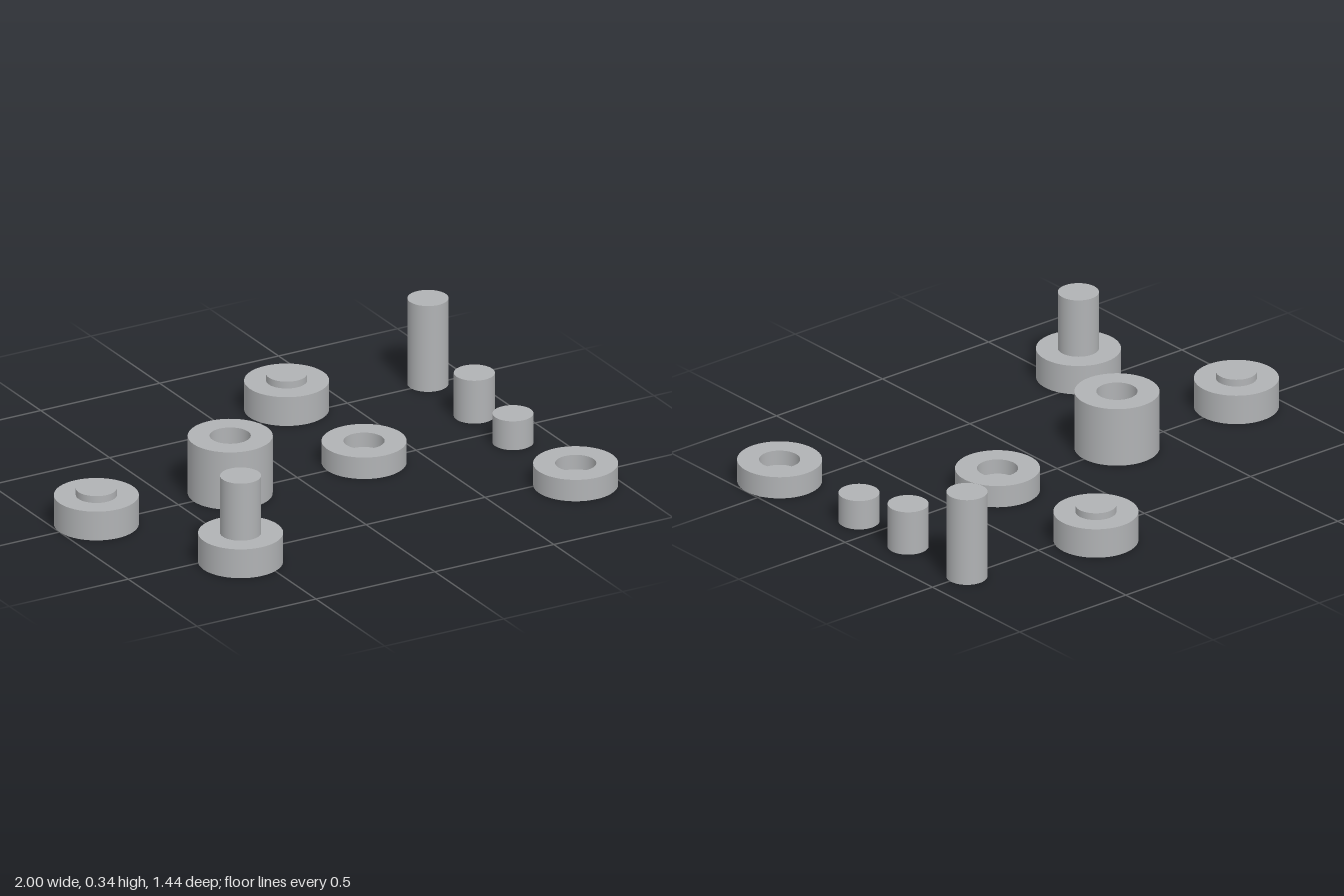
import * as THREE from 'three';

const R = 0.155;   // body radius
const r = 0.075;   // pin and hole radius
const SEG = 64;

export function createModel() {
  const model = new THREE.Group();
  const grey = new THREE.MeshStandardMaterial({ color: 0xb0b2b4 });
  grey.name = 'plain grey';

  // Revolve a profile of separate straight segments, so every edge stays sharp
  function turned(name, points, x, z) {
    const part = new THREE.Group();
    part.name = name;
    for (let i = 0; i < points.length - 1; i++) {
      const segment = [points[i], points[i + 1]].map(([px, py]) => new THREE.Vector2(px, py));
      const face = new THREE.Mesh(new THREE.LatheGeometry(segment, SEG), grey);
      face.name = name + 'Surface';
      part.add(face);
    }
    part.position.set(x, 0, z);
    model.add(part);
  }

  // Disc with a raised peg in the middle
  const pegged = (name, h, top, x, z) =>
    turned(name, [[0, 0], [R, 0], [R, h], [r, h], [r, top], [0, top]], x, z);

  // Disc with a blind round socket in its top
  const socketed = (name, h, floor, x, z) =>
    turned(name, [[0, 0], [R, 0], [R, h], [r, h], [r, floor], [0, floor]], x, z);

  pegged('leftPeggedDisc', 0.114, 0.141, -0.845, 0);
  pegged('rearPeggedDisc', 0.114, 0.141, 0.281, -0.563);
  pegged('axleDisc', 0.114, 0.34, -0.564, 0.563);
  socketed('centreSocketDisc', 0.085, 0.028, 0.281, 0);
  socketed('frontSocketDisc', 0.085, 0.028, 0.845, 0.563);

  // Tall hub, bored right through
  turned('hub', [[r, 0], [R, 0], [R, 0.227], [r, 0.227], [r, 0]], -0.282, 0);

  // Loose pins of three lengths
  [['longPin', 0.34, -0.507], ['mediumPin', 0.17, -0.17], ['shortPin', 0.114, 0.111]]
    .forEach(([name, h, z]) => turned(name, [[0, 0], [r, 0], [r, h], [0, h]], 0.843, z));

  return model;
}
